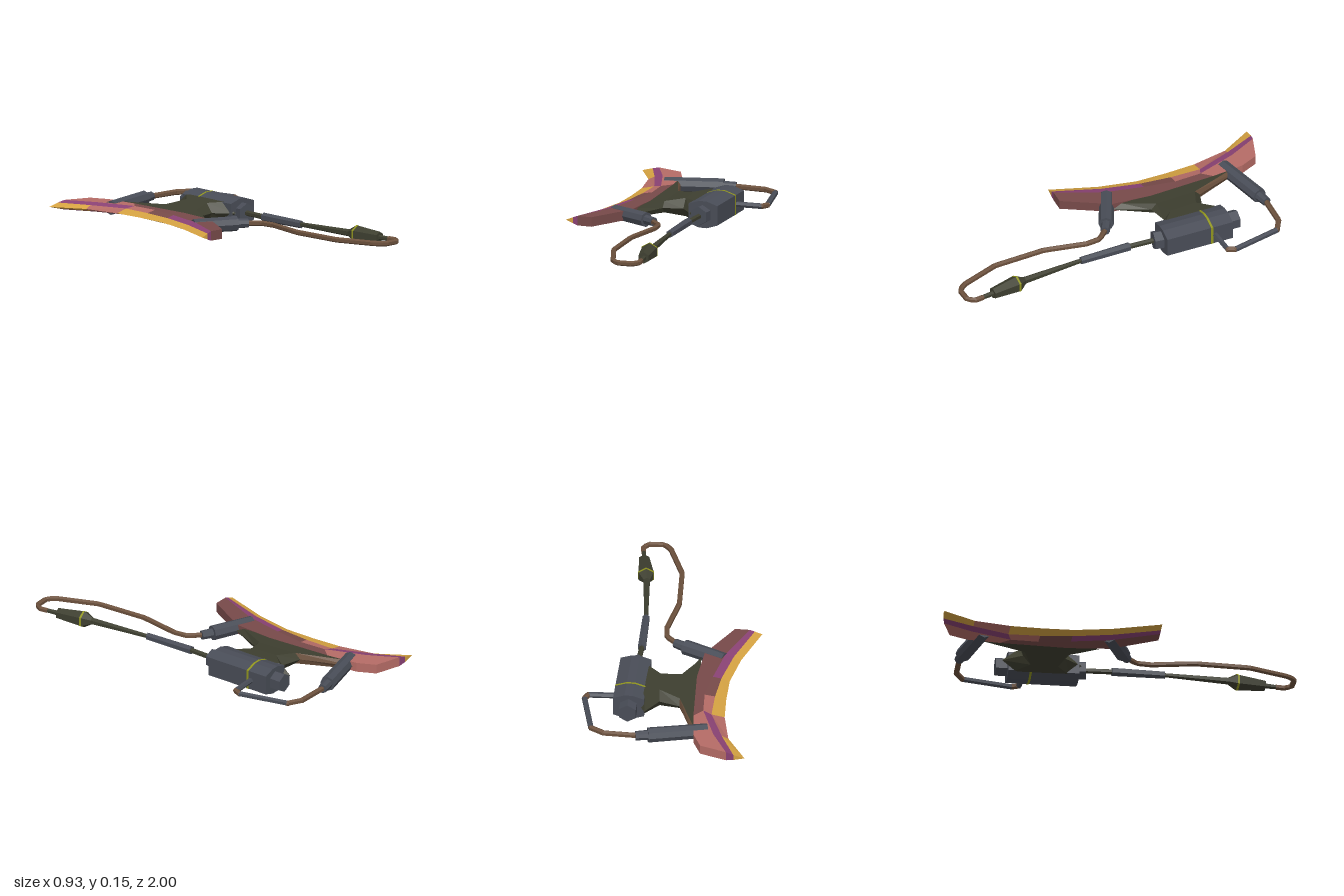
import * as THREE from 'three';

const Y = 0.073; // mid height of the flat-lying axe

export function createModel() {
  const group = new THREE.Group();
  const mat = (name, color) => {
    const m = new THREE.MeshStandardMaterial({ color, flatShading: true });
    m.name = name;
    return m;
  };
  const M = {
    yellow: mat('edgeYellow', 0xd6a342),
    purple: mat('purple', 0x8a4274),
    pink: mat('pinkRed', 0xb56c66),
    dark: mat('darkRed', 0x774a49),
    olive: mat('darkOlive', 0x3e3f30),
    brown: mat('cableBrown', 0x6c513d),
    grey: mat('gunGrey', 0x494d57),
    lime: mat('lime', 0x92961f),
  };
  const add = (name, geo, material) => {
    const mesh = new THREE.Mesh(geo, material);
    mesh.name = name;
    group.add(mesh);
    return mesh;
  };

  // Gathers faces by colour and turns them into one mesh per colour
  const faceSet = () => {
    const lists = {};
    const poly = (color, ...p) => {
      const out = (lists[color] ??= []);
      for (let i = 1; i < p.length - 1; i++) out.push(...p[0], ...p[i], ...p[i + 1]);
    };
    const finish = (name) => {
      for (const color in lists) {
        const g = new THREE.BufferGeometry();
        g.setAttribute('position', new THREE.Float32BufferAttribute(lists[color], 3));
        g.computeVertexNormals();
        add(name + '_' + M[color].name, g, M[color]);
      }
    };
    return { poly, finish };
  };

  // Straight rod between two [x, z] points
  const rod = (name, a, b, r1, r2, material, sides = 6) => {
    const dx = b[0] - a[0], dz = b[1] - a[1];
    const g = new THREE.CylinderGeometry(r2, r1, Math.hypot(dx, dz), sides);
    g.rotateX(Math.PI / 2);
    g.rotateY(Math.atan2(dx, dz));
    g.translate((a[0] + b[0]) / 2, Y, (a[1] + b[1]) / 2);
    return add(name, g, material);
  };

  // Angular cable along [x, z] points
  const cable = (name, pts, r, material) => {
    const path = new THREE.CurvePath();
    const v = pts.map(([x, z]) => new THREE.Vector3(x, Y, z));
    for (let i = 0; i < v.length - 1; i++) path.add(new THREE.LineCurve3(v[i], v[i + 1]));
    add(name, new THREE.TubeGeometry(path, 48, r, 6), material);
  };

  // Blade: rows of [x, z] from cutting edge to inner edge
  const rows = [
    [[-0.43, -1.0], [-0.37, -0.995], [-0.33, -0.985], [-0.19, -0.93]],
    [[-0.335, -0.82], [-0.3, -0.82], [-0.255, -0.82], [-0.15, -0.83]],
    [[-0.305, -0.62], [-0.235, -0.62], [-0.19, -0.6], [-0.14, -0.65]],
    [[-0.305, -0.45], [-0.245, -0.45], [-0.19, -0.45], [-0.14, -0.45]],
    [[-0.315, -0.28], [-0.27, -0.28], [-0.225, -0.28], [-0.14, -0.28]],
    [[-0.365, -0.08], [-0.325, -0.075], [-0.28, -0.07], [-0.17, -0.06]],
    [[-0.465, 0.17], [-0.425, 0.17], [-0.4, 0.17], [-0.32, 0.175]],
  ];
  const bands = [
    ['yellow', 'purple', 'pink'],
    ['pink', 'purple', 'pink'],
    ['yellow', 'pink', 'dark'],
    ['yellow', 'dark', 'dark'],
    ['yellow', 'purple', 'dark'],
    ['yellow', 'purple', 'dark'],
  ];
  const half = [0, 0.016, 0.026, 0.026];
  const bp = (r, k, s) => [rows[r][k][0], Y + s * half[k], rows[r][k][1]];
  const blade = faceSet();
  for (let r = 0; r < 6; r++) {
    for (let k = 0; k < 3; k++) {
      const c = bands[r][k];
      blade.poly(c, bp(r, k, 1), bp(r + 1, k, 1), bp(r + 1, k + 1, 1), bp(r, k + 1, 1));
      blade.poly(c, bp(r, k, -1), bp(r, k + 1, -1), bp(r + 1, k + 1, -1), bp(r + 1, k, -1));
    }
    blade.poly(bands[r][2], bp(r, 3, -1), bp(r, 3, 1), bp(r + 1, 3, 1), bp(r + 1, 3, -1));
  }
  for (let k = 0; k < 3; k++) {
    blade.poly(bands[0][k], bp(0, k, 1), bp(0, k + 1, 1), bp(0, k + 1, -1), bp(0, k, -1));
    blade.poly(bands[5][k], bp(6, k, -1), bp(6, k + 1, -1), bp(6, k + 1, 1), bp(6, k, 1));
  }
  blade.finish('blade');

  // Socket joining the blade to the receiver: [x, zMin, zMax, halfHeight, bevel]
  const rings = [
    [-0.155, -0.83, -0.06, 0.024, 0.05],
    [-0.06, -0.53, -0.24, 0.031, 0.03],
    [0.05, -0.49, -0.26, 0.05, 0.04],
    [0.125, -0.59, -0.16, 0.056, 0.07],
    [0.15, -0.54, -0.18, 0.056, 0.07],
  ].map(([x, a, b, h, i]) => [
    [x, Y, a], [x, Y + h, a + i], [x, Y + h, b - i],
    [x, Y, b], [x, Y - h, b - i], [x, Y - h, a + i],
  ]);
  const socket = faceSet();
  for (let s = 0; s < rings.length - 1; s++)
    for (let i = 0; i < 6; i++) {
      const j = (i + 1) % 6;
      const c = s === 0 && (i === 0 || i === 5) ? 'brown' : 'olive';
      socket.poly(c, rings[s][i], rings[s][j], rings[s + 1][j], rings[s + 1][i]);
    }
  socket.poly('olive', ...rings[rings.length - 1]);
  socket.finish('socket');

  // Receiver: eight-sided block, turned slightly
  const prism = (name, depth, grow, z, material) => {
    const w = 0.083 + grow, t = 0.073 + grow, e = 0.053 + grow;
    const shape = new THREE.Shape([
      [-0.022, -t], [0.022, -t], [w, -e], [w, e], [0.022, t], [-0.022, t], [-w, e], [-w, -e],
    ].map((p) => new THREE.Vector2(...p)));
    const g = new THREE.ExtrudeGeometry(shape, { depth, bevelEnabled: false });
    g.translate(0, 0, z - depth / 2);
    g.rotateY(-0.055);
    g.translate(0.2, Y, -0.36);
    add(name, g, material);
  };
  prism('receiver', 0.38, 0, 0, M.grey);
  prism('receiverStripe', 0.012, 0.001, -0.07, M.lime);
  rod('rearStub', [0.214, -0.612], [0.21, -0.54], 0.052, 0.052, M.grey);
  rod('frontStub', [0.19, -0.18], [0.18, -0.127], 0.052, 0.052, M.grey);

  // Handle
  rod('handleNeck', [0.182, -0.14], [0.168, 0.02], 0.015, 0.015, M.olive);
  rod('handleSleeve', [0.168, 0.01], [0.16, 0.295], 0.024, 0.021, M.grey);
  rod('handleShaft', [0.16, 0.29], [0.175, 0.65], 0.012, 0.02, M.olive);
  rod('pommelFlare', [0.174, 0.64], [0.18, 0.685], 0.02, 0.047, M.olive);
  rod('pommelRing', [0.18, 0.684], [0.181, 0.695], 0.048, 0.048, M.lime);
  rod('pommel', [0.181, 0.69], [0.198, 0.84], 0.047, 0.031, M.olive);
  rod('pommelTip', [0.197, 0.83], [0.205, 0.92], 0.015, 0.012, M.olive);

  // Pipes clamped on the blade
  rod('rearPipe', [-0.22, -0.748], [0.095, -0.807], 0.039, 0.041, M.grey, 8);
  rod('rearPipeTip', [0.09, -0.806], [0.16, -0.817], 0.028, 0.025, M.grey, 8);
  rod('frontPipe', [-0.275, -0.082], [-0.06, 0.03], 0.039, 0.041, M.grey, 8);
  rod('frontPipeTip', [-0.06, 0.03], [-0.007, 0.063], 0.027, 0.025, M.grey, 8);

  // Cables
  cable('frontCable', [
    [-0.02, 0.055], [0.04, 0.12], [0.045, 0.2], [-0.01, 0.43], [-0.01, 0.72],
    [0.06, 0.94], [0.095, 0.984], [0.18, 0.984], [0.208, 0.95], [0.204, 0.9],
  ], 0.015, M.brown);
  const loop = [[0.15, -0.815], [0.33, -0.8], [0.4, -0.755], [0.448, -0.48], [0.43, -0.445], [0.27, -0.445]];
  for (let i = 0; i < loop.length - 1; i++)
    cable('rearCable' + (i + 1), [loop[i], loop[i + 1]], 0.0155, i === 2 || i === 4 ? M.grey : M.brown);
  for (const [x, z] of loop.slice(1, 5)) {
    const joint = add('cableJoint', new THREE.SphereGeometry(0.0155, 6, 4), M.brown);
    joint.position.set(x, Y, z);
  }
  return group;
}
